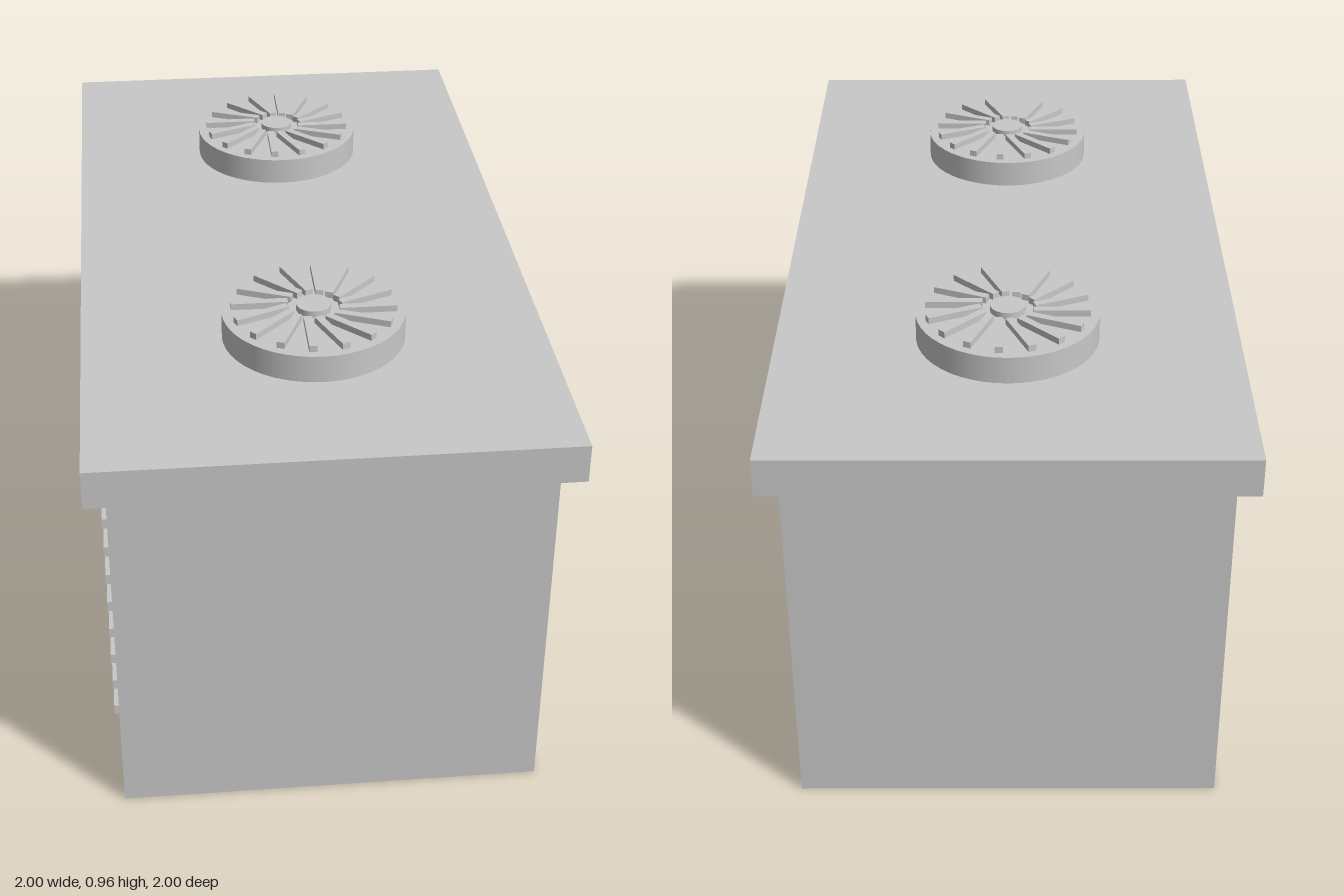
import * as THREE from 'three';

const grey = new THREE.MeshStandardMaterial({ color: 0xc8c8c8 });
grey.name = 'painted metal grey';

function add(parent, name, geometry, x, y, z) {
  const mesh = new THREE.Mesh(geometry, grey);
  mesh.name = name;
  mesh.position.set(x, y, z);
  parent.add(mesh);
  return mesh;
}

// Round fan housing with a hub and swirled grille blades
function makeFan() {
  const fan = new THREE.Group();
  fan.name = 'fan';
  add(fan, 'fanHousing', new THREE.CylinderGeometry(0.193, 0.193, 0.06, 48), 0, 0.03, 0);
  add(fan, 'fanHub', new THREE.CylinderGeometry(0.037, 0.037, 0.014, 24), 0, 0.067, 0);
  const bladeGeometry = new THREE.BoxGeometry(0.12, 0.014, 0.017);
  const count = 16;
  for (let i = 0; i < count; i++) {
    const spoke = new THREE.Group();
    spoke.name = 'fanSpoke';
    spoke.rotation.y = (i / count) * Math.PI * 2;
    add(spoke, 'fanBlade', bladeGeometry, 0.113, 0.067, 0.018);
    fan.add(spoke);
  }
  return fan;
}

export function createModel() {
  const model = new THREE.Group();
  model.name = 'rooftopUnit';

  // The whole unit stands diagonally
  const unit = new THREE.Group();
  unit.name = 'unit';
  unit.rotation.y = -Math.PI / 4;
  model.add(unit);

  // Cabinet and overhanging lid
  const width = 0.89;
  add(unit, 'cabinet', new THREE.BoxGeometry(1.768, 0.8, width), 0, 0.4, 0);
  add(unit, 'lid', new THREE.BoxGeometry(1.853, 0.083, 0.976), 0, 0.8415, 0);

  // Louvres: three columns of eight on both long sides
  const louvreGeometry = new THREE.BoxGeometry(0.375, 0.023, 0.028);
  for (const side of [-1, 1]) {
    for (const column of [-1, 0, 1]) {
      for (let row = 0; row < 8; row++) {
        add(unit, 'louvre', louvreGeometry, column * 0.566, 0.137 + row * 0.0712, side * width / 2);
      }
    }
  }

  // Two fans on the lid, both turned the same way
  for (const end of [-1, 1]) {
    const fan = makeFan();
    fan.position.set(end * 0.457, 0.883, 0);
    unit.add(fan);
  }
  return model;
}
